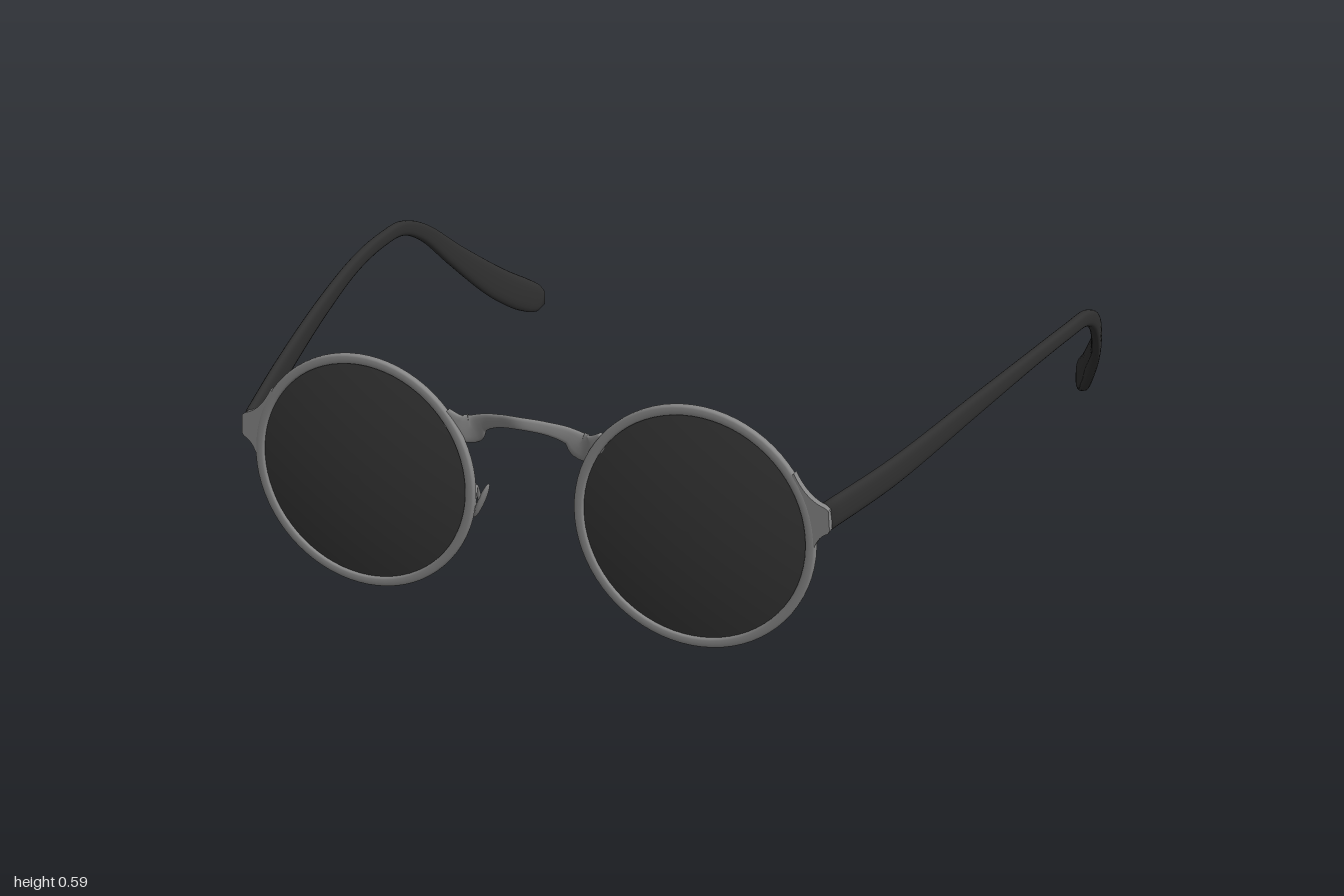
import * as THREE from 'three';

const frameMat = new THREE.MeshStandardMaterial({ color: 0x858585 });
frameMat.name = 'grey metal';
const templeMat = new THREE.MeshStandardMaterial({ color: 0x303030 });
templeMat.name = 'black plastic';
const lensMat = new THREE.MeshStandardMaterial({ color: 0x343434, side: THREE.DoubleSide });
lensMat.name = 'dark lens';

const EYE = { x: 0.42, y: 0.295, z: 0.908 };

// Sweeps a rounded section along stations of [x, y, z, halfHeight, halfWidth]
function loft(stations, steps, sides = 20, power = 0.7) {
  const path = new THREE.CatmullRomCurve3(stations.map(s => new THREE.Vector3(s[0], s[1], s[2])));
  const size = new THREE.CatmullRomCurve3(stations.map(s => new THREE.Vector3(s[3], s[4], 0)));
  const pos = [], idx = [];
  const soft = v => Math.sign(v) * Math.pow(Math.abs(v), power);
  for (let i = 0; i <= steps; i++) {
    const c = path.getPoint(i / steps), t = path.getTangent(i / steps), h = size.getPoint(i / steps);
    const side = new THREE.Vector3(0, 1, 0).cross(t).normalize();
    const up = t.clone().cross(side);
    for (let j = 0; j < sides; j++) {
      const a = j / sides * Math.PI * 2;
      const p = c.clone().addScaledVector(side, h.y * soft(Math.cos(a))).addScaledVector(up, h.x * soft(Math.sin(a)));
      pos.push(p.x, p.y, p.z);
      if (i < steps) {
        const k = (j + 1) % sides, r = i * sides, n = r + sides;
        idx.push(r + j, r + k, n + j, r + k, n + k, n + j);
      }
    }
  }
  // end caps
  const last = steps * sides;
  for (let j = 1; j < sides - 1; j++) idx.push(0, j + 1, j, last, last + j, last + j + 1);
  const g = new THREE.BufferGeometry();
  g.setAttribute('position', new THREE.Float32BufferAttribute(pos, 3));
  g.setIndex(idx);
  g.computeVertexNormals();
  return g;
}

// Reflects a geometry across x = 0, keeping faces outward
function mirrored(geometry) {
  const g = geometry.clone();
  const p = g.attributes.position, n = g.attributes.normal;
  for (let i = 0; i < p.count; i++) {
    p.setX(i, -p.getX(i));
    n.setX(i, -n.getX(i));
  }
  const src = g.index ? Array.from(g.index.array) : Array.from({ length: p.count }, (_, i) => i);
  for (let i = 0; i < src.length; i += 3) [src[i + 1], src[i + 2]] = [src[i + 2], src[i + 1]];
  g.clearGroups();
  g.setIndex(src);
  return g;
}

// Round wire rim around one lens
function rimGeometry() {
  const pts = [];
  for (let i = 0; i <= 16; i++) {
    const a = i / 16 * Math.PI * 2;
    const soft = v => Math.sign(v) * Math.pow(Math.abs(v), 0.6);
    pts.push(new THREE.Vector2(0.281 + 0.012 * soft(Math.cos(a)), 0.01 * soft(Math.sin(a))));
  }
  return new THREE.LatheGeometry(pts, 72).rotateX(Math.PI / 2).translate(EYE.x, EYE.y, EYE.z);
}

// Shallow domed lens
function lensGeometry() {
  const pts = [];
  for (let i = 0; i <= 12; i++) {
    const r = 0.28 * (1 - i / 12);
    pts.push(new THREE.Vector2(r, 0.027 * (1 - (r / 0.28) ** 2)));
  }
  return new THREE.LatheGeometry(pts, 72).rotateX(Math.PI / 2).translate(EYE.x, EYE.y, EYE.z);
}

// Flared plate joining the rim to the temple
function lugGeometry() {
  const s = new THREE.Shape();
  s.moveTo(0.711, 0.3);
  s.quadraticCurveTo(0.722, 0.33, 0.742, 0.337);
  s.lineTo(0.746, 0.345);
  s.lineTo(0.742, 0.392);
  s.lineTo(0.734, 0.398);
  s.quadraticCurveTo(0.69, 0.41, 0.66, 0.468);
  s.absarc(EYE.x, EYE.y, 0.278, 0.61, 0.02, true);
  return new THREE.ExtrudeGeometry(s, { depth: 0.018, bevelEnabled: false, curveSegments: 10 }).translate(0, 0, 0.899);
}

// Temple arm: [x, y, z, halfHeight, halfWidth]
const TEMPLE = [
  [0.731, 0.369, 0.897, 0.036, 0.013],
  [0.802, 0.392, 0.65, 0.034, 0.013],
  [0.884, 0.437, 0.3, 0.027, 0.013],
  [0.945, 0.466, 0, 0.021, 0.013],
  [0.974, 0.471, -0.2, 0.02, 0.013],
  [0.985, 0.462, -0.34, 0.021, 0.013],
  [0.981, 0.413, -0.46, 0.025, 0.013],
  [0.957, 0.305, -0.6, 0.034, 0.014],
  [0.905, 0.183, -0.75, 0.047, 0.016],
  [0.873, 0.125, -0.84, 0.05, 0.017],
  [0.853, 0.097, -0.89, 0.046, 0.016],
  [0.844, 0.08, -0.917, 0.035, 0.014],
  [0.837, 0.066, -0.938, 0.004, 0.003],
];

// Half of the bridge: [x, top, bottom, z]
const BRIDGE = [
  [0.2, 0.49, 0.464, 0.905],
  [0.172, 0.478, 0.412, 0.9],
  [0.14, 0.476, 0.405, 0.891],
  [0.11, 0.482, 0.44, 0.894],
  [0.06, 0.494, 0.463, 0.911],
];

function padArmGeometry() {
  const curve = new THREE.CatmullRomCurve3([
    new THREE.Vector3(0.135, 0.24, 0.903), new THREE.Vector3(0.135, 0.275, 0.895),
    new THREE.Vector3(0.138, 0.292, 0.882), new THREE.Vector3(0.14, 0.275, 0.87),
    new THREE.Vector3(0.14, 0.245, 0.86),
  ]);
  return new THREE.TubeGeometry(curve, 24, 0.005, 8);
}

export function createModel() {
  const model = new THREE.Group();
  model.name = 'sunglasses';
  const add = (name, geometry, material) => {
    const m = new THREE.Mesh(geometry, material);
    m.name = name;
    model.add(m);
  };
  const addPair = (name, geometry, material) => {
    add('left' + name, geometry, material);
    add('right' + name, mirrored(geometry), material);
  };

  addPair('Rim', rimGeometry(), frameMat);
  addPair('Lens', lensGeometry(), lensMat);
  addPair('Lug', lugGeometry(), frameMat);
  addPair('Hinge', new THREE.CylinderGeometry(0.011, 0.011, 0.05, 16).translate(0.709, 0.367, 0.885), frameMat);
  addPair('Temple', loft(TEMPLE, 84), templeMat);

  // Bridge spans both rims
  const section = (s, x) => [x, (s[1] + s[2]) / 2, s[3], (s[1] - s[2]) / 2, 0.007];
  const stations = [
    ...BRIDGE.map(s => section(s, -s[0])),
    section([0, 0.503, 0.474, 0.93], 0),
    ...BRIDGE.slice().reverse().map(s => section(s, s[0])),
  ];
  add('bridge', loft(stations, 60, 16), frameMat);

  // Nose pads on bent wire arms
  addPair('NosePadArm', padArmGeometry(), frameMat);
  const pad = new THREE.SphereGeometry(1, 20, 14).scale(0.008, 0.05, 0.013)
    .rotateZ(0.42).translate(0.138, 0.246, 0.857);
  addPair('NosePad', pad, frameMat);

  return model;
}
